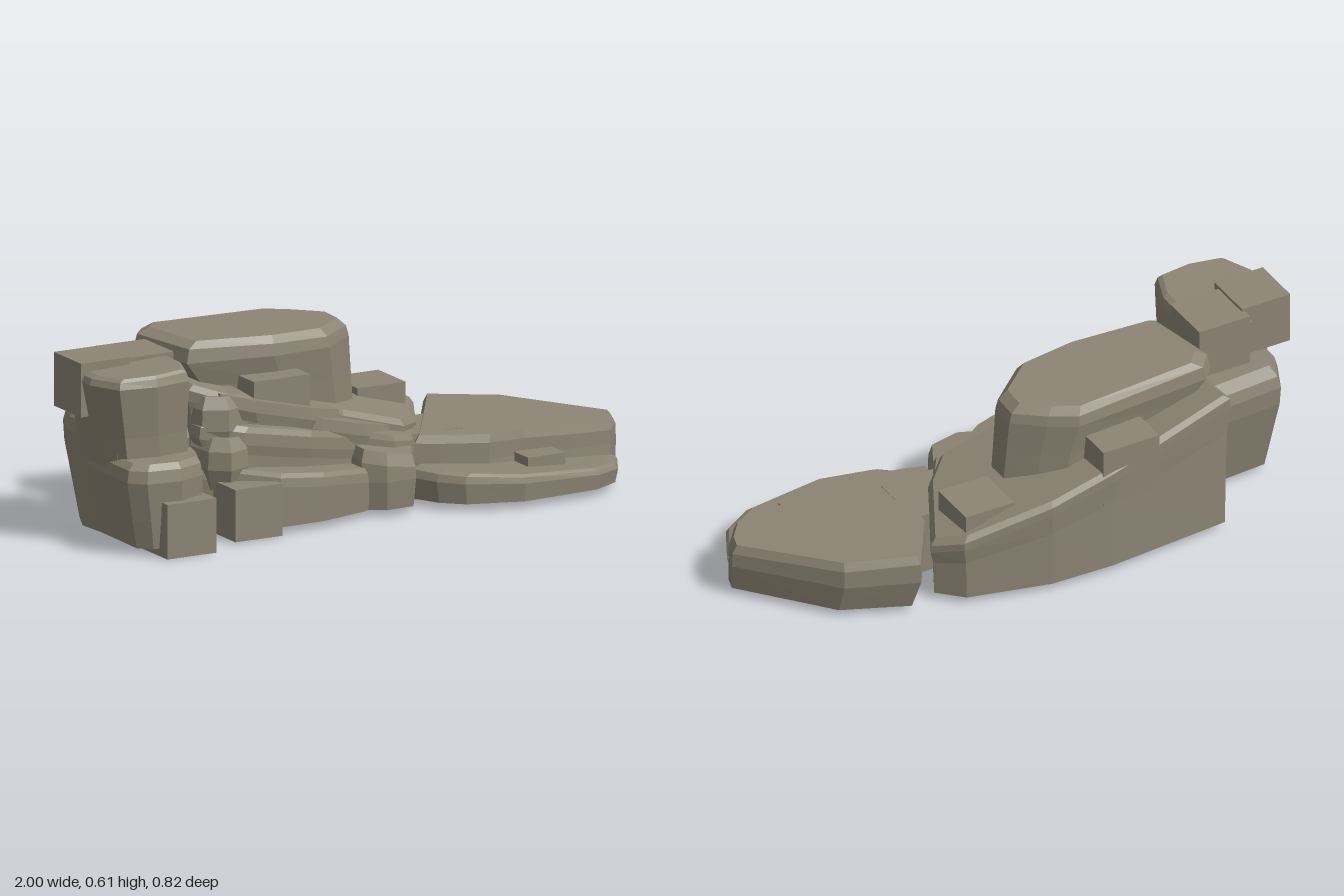
import * as THREE from 'three';

const stone = new THREE.MeshStandardMaterial({ color: 0x8d8574 });
stone.name = 'stone';
stone.flatShading = true;

// Lofts an [x, z] outline through levels [scale, a, b, c, dx, dz]; height there is a + b*x + c*z.
function rock(name, outline, levels) {
  const pts = outline.map(([x, z]) => new THREE.Vector2(x, z));
  if (THREE.ShapeUtils.area(pts) < 0) pts.reverse();
  const n = pts.length;
  const mid = pts.reduce((m, p) => m.add(p), new THREE.Vector2()).divideScalar(n);
  const pos = [], idx = [];
  for (const [s, a, b = 0, c = 0, dx = 0, dz = 0] of levels) {
    for (const p of pts) {
      const x = mid.x + (p.x - mid.x) * s + dx;
      const z = mid.y + (p.y - mid.y) * s + dz;
      pos.push(x, a + b * x + c * z, z);
    }
  }
  for (let l = 0; l < levels.length - 1; l++) {
    for (let i = 0; i < n; i++) {
      const j = (i + 1) % n, p = l * n + i, q = l * n + j;
      idx.push(p, q + n, q, p, p + n, q + n);
    }
  }
  const top = (levels.length - 1) * n;
  for (const [a, b, c] of THREE.ShapeUtils.triangulateShape(pts, [])) {
    idx.push(a, b, c, top + a, top + c, top + b);
  }
  const indexed = new THREE.BufferGeometry();
  indexed.setAttribute('position', new THREE.Float32BufferAttribute(pos, 3));
  indexed.setIndex(idx);
  const geo = indexed.toNonIndexed();
  geo.computeVertexNormals();
  const mesh = new THREE.Mesh(geo, stone);
  mesh.name = name;
  return mesh;
}

export function createModel() {
  const g = new THREE.Group();
  g.name = 'rockFormation';
  const add = (...args) => g.add(rock(...args));

  // Low ledge along the front of the main mass
  add('frontLedge',
    [[-0.59, -0.2], [-0.59, 0.17], [-0.5, 0.22], [-0.37, 0.31], [-0.2, 0.305], [-0.02, 0.26], [0.1, 0.2], [0.1, -0.2]],
    [[0.97, 0.025], [1, 0.12, -0.11], [0.98, 0.15, -0.11], [0.94, 0.165, -0.11]]);

  // Knob at the right end of the ledge
  add('ledgeKnob',
    [[-0.03, 0.0], [-0.03, 0.24], [0.04, 0.29], [0.15, 0.285], [0.21, 0.17], [0.24, 0.0]],
    [[0.92, 0.025], [1, 0.12], [0.98, 0.18, -0.15], [0.87, 0.235, -0.15, -0.05]]);

  // Middle stratum, stepping back from the ledge
  add('middleLayer',
    [[-0.6, -0.3], [-0.59, 0.16], [-0.45, 0.21], [-0.2, 0.21], [0.02, 0.17], [0.12, 0.2], [0.21, 0.16], [0.32, 0.0], [0.38, -0.25]],
    [[0.95, 0.025], [0.96, 0.18, -0.17], [1, 0.21, -0.18], [0.99, 0.25, -0.18], [0.94, 0.27, -0.18]]);

  // Large sloping back mass with a steep rear wall
  add('backMass',
    [[-0.605, -0.375], [-0.595, 0.1], [-0.52, 0.15], [-0.25, 0.16], [-0.02, 0.11], [0.2, 0.12], [0.3, 0.02],
      [0.45, -0.26], [0.37, -0.34], [0.08, -0.41], [-0.15, -0.415]],
    [[0.97, 0.025], [0.98, 0.24, -0.22], [1, 0.285, -0.26, -0.08], [1, 0.315, -0.27, -0.08], [0.96, 0.335, -0.27, -0.08]]);

  // Slanted shelf slivers on the front face
  for (const [x, z, w, a] of [[-0.28, 0.15, 0.24, 0.3], [-0.05, 0.14, 0.2, 0.27]]) {
    add('shelf',
      [[x - w, z - 0.12], [x - w, z + 0.01], [x - w * 0.5, z + 0.05], [x + w * 0.4, z + 0.04], [x + w, z - 0.02], [x + w * 0.9, z - 0.12]],
      [[0.92, a - 0.04, -0.24], [1, a - 0.01, -0.25], [0.95, a + 0.03, -0.25]]);
  }

  // Boulders stacked at the left end of the main mass
  add('boulder',
    [[-0.59, 0.08], [-0.58, 0.2], [-0.52, 0.25], [-0.44, 0.22], [-0.38, 0.12], [-0.45, 0.02]],
    [[0.8, 0.15], [1, 0.22], [0.95, 0.28], [0.7, 0.32]]);
  add('boulder',
    [[-0.6, 0.0], [-0.58, 0.16], [-0.5, 0.2], [-0.41, 0.17], [-0.38, 0.05], [-0.45, -0.05]],
    [[0.85, 0.28], [1, 0.34], [0.95, 0.41], [0.75, 0.45]]);

  // Tall slab on top
  add('topSlab',
    [[-0.61, -0.22], [-0.56, -0.28], [-0.07, -0.305], [0.02, -0.25], [0.115, -0.17], [0.11, -0.07],
      [-0.03, 0.05], [-0.25, 0.075], [-0.56, 0.045]],
    [[0.86, 0.3, -0.15, 0, 0.055], [0.92, 0.42, -0.08, 0, 0.025], [1, 0.53, -0.02, 0, -0.01],
      [0.97, 0.565, -0.04, 0, -0.01], [0.87, 0.592, -0.03, 0, -0.01]]);

  // Left tower: low rear block, front foot and upper column
  add('towerRear',
    [[-0.95, -0.08], [-0.9, -0.19], [-0.64, -0.21], [-0.61, -0.1], [-0.61, 0.12], [-0.66, 0.22], [-0.93, 0.22]],
    [[0.88, 0.025, 0, 0, 0.015, 0.03], [0.98, 0.28], [1, 0.345], [0.95, 0.385], [0.82, 0.42]]);
  add('towerFoot',
    [[-0.945, 0.05], [-0.95, 0.32], [-0.9, 0.365], [-0.78, 0.38], [-0.68, 0.34], [-0.62, 0.2], [-0.61, 0.05]],
    [[0.84, 0.025, 0, 0, 0.015], [0.92, 0.12, 0, 0, 0.01], [1, 0.25], [0.95, 0.29], [0.82, 0.31]]);
  add('towerColumn',
    [[-0.99, -0.02], [-1, 0.16], [-0.95, 0.27], [-0.82, 0.29], [-0.69, 0.27], [-0.645, 0.15], [-0.64, -0.05], [-0.8, -0.1]],
    [[0.86, 0.27, 0, 0, 0.025], [0.89, 0.38, 0, 0, 0.015], [1, 0.55], [0.95, 0.6, 0.03], [0.84, 0.61, 0.03, 0, 0, 0.01]]);
  add('towerSplinter',
    [[-0.68, -0.15], [-0.68, 0.15], [-0.63, 0.14], [-0.605, 0.05], [-0.605, -0.1]],
    [[0.9, 0.025, 0, 0, 0, 0.02], [1, 0.28], [0.85, 0.42, 0, 0, -0.01]]);

  // Right fan-shaped rock and its lower front step
  add('fanRock',
    [[0.52, -0.32], [0.75, -0.22], [1, 0.08], [0.985, 0.13], [0.92, 0.21], [0.78, 0.215], [0.6, 0.205],
      [0.46, 0.22], [0.3, 0.18], [0.22, 0.15], [0.38, -0.1]],
    [[0.95, 0.025, 0, 0, 0.01, 0.015], [1, 0.14, -0.02], [0.995, 0.21, -0.04, -0.03], [0.95, 0.235, -0.035, -0.03]]);
  add('fanStep',
    [[0.18, 0.18], [0.23, 0.28], [0.3, 0.345], [0.49, 0.405], [0.78, 0.385], [0.88, 0.33], [0.95, 0.2], [0.8, 0.1], [0.3, 0.05]],
    [[0.97, 0.025], [1, 0.105, -0.04], [0.97, 0.135, -0.06], [0.9, 0.146, -0.065]]);

  // Square blocks: centre x, top y, centre z, size
  for (const [x, top, z, s] of [
    [-0.91, 0.61, 0.015, 0.18], [-0.735, 0.6, -0.015, 0.19], [-0.755, 0.183, 0.31, 0.183],
    [-0.465, 0.18, 0.245, 0.175], [-0.275, 0.48, 0.045, 0.21], [-0.215, 0.48, -0.305, 0.21],
    [0.26, 0.325, -0.225, 0.18], [0.31, 0.22, 0.01, 0.22], [0.63, 0.14, 0.23, 0.14],
  ]) {
    const block = new THREE.Mesh(new THREE.BoxGeometry(s, s, s), stone);
    block.name = 'block';
    block.position.set(x, top - s / 2, z);
    g.add(block);
  }
  return g;
}
